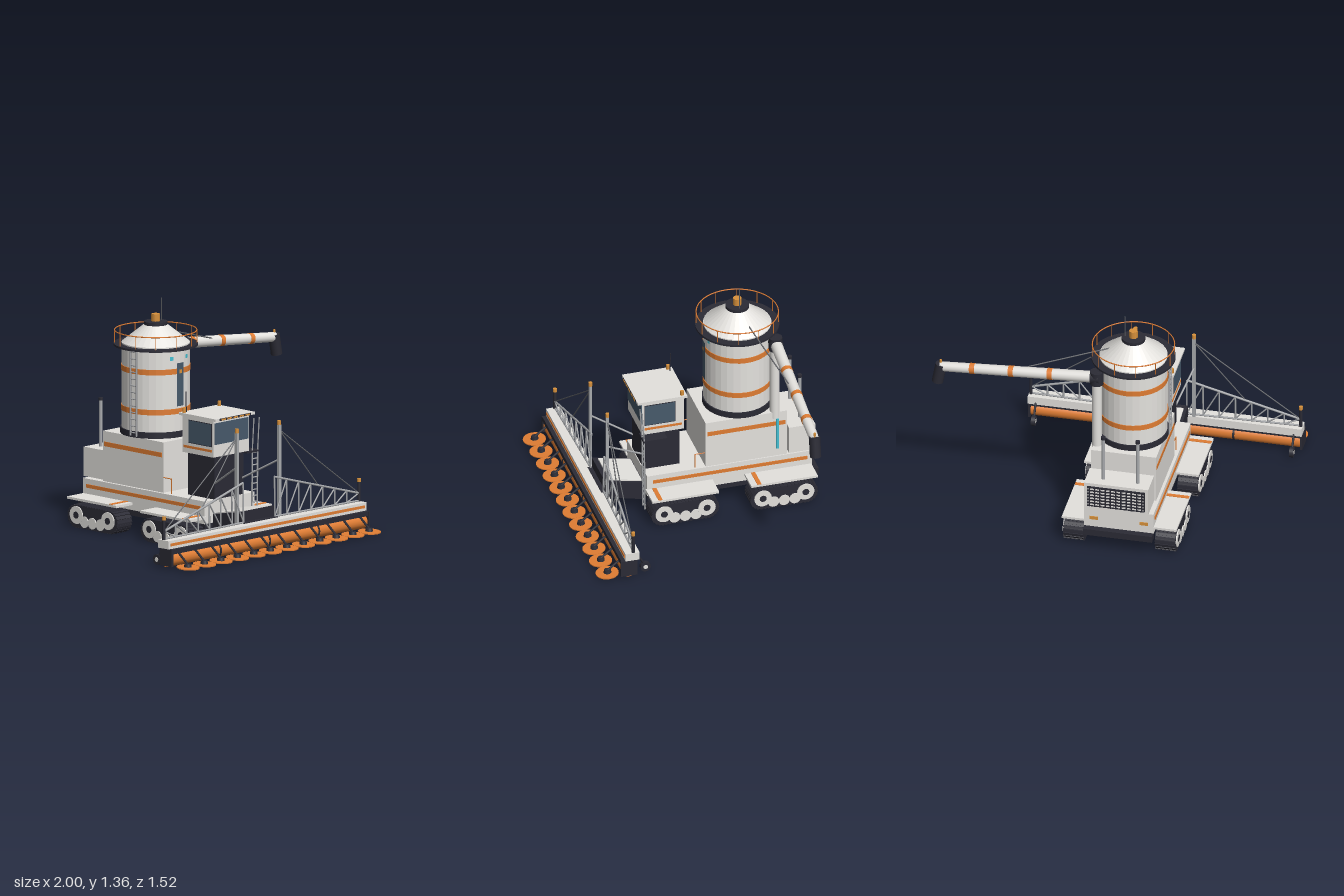
import * as THREE from 'three';

const mat = (name, color) => Object.assign(new THREE.MeshStandardMaterial({ color }), { name });
const V = (x, y, z) => new THREE.Vector3(x, y, z);
const UP = V(0, 1, 0);

export function createModel() {
  const light = mat('light grey paint', 0xe4e2de), orange = mat('orange paint', 0xe07d33);
  const dark = mat('dark metal', 0x2b2b35), glass = mat('tinted glass', 0x475a6b);
  const teal = mat('teal indicator', 0x45bfd2), steel = mat('steel', 0xa9abae);
  const amber = mat('amber lamp', 0xd9923c), cable = mat('cable grey', 0x66686c);

  const root = new THREE.Group();
  root.name = 'harvester';
  // Everything is laid out about the machine's own centre line
  const m = new THREE.Group();
  m.name = 'machine';
  m.position.x = -0.178;
  root.add(m);

  const add = (name, geo, material, x = 0, y = 0, z = 0) => {
    const mesh = new THREE.Mesh(geo, material);
    mesh.name = name;
    mesh.position.set(x, y, z);
    m.add(mesh);
    return mesh;
  };
  // Box given by its limits on each axis
  const box = (name, material, x0, x1, y0, y1, z0, z1) =>
    add(name, new THREE.BoxGeometry(x1 - x0, y1 - y0, z1 - z0), material, (x0 + x1) / 2, (y0 + y1) / 2, (z0 + z1) / 2);
  const cyl = (name, material, r0, r1, y0, y1, x, z, n = 16) =>
    add(name, new THREE.CylinderGeometry(r1, r0, y1 - y0, n), material, x, (y0 + y1) / 2, z);
  const rod = (name, material, a, b, r0, r1 = r0, n = 6) => {
    const d = b.clone().sub(a);
    const c = a.clone().add(b).multiplyScalar(0.5);
    const mesh = add(name, new THREE.CylinderGeometry(r1, r0, d.length(), n), material, c.x, c.y, c.z);
    mesh.quaternion.setFromUnitVectors(UP, d.normalize());
    return mesh;
  };
  const flat = (geo) => {
    const g = geo.toNonIndexed();
    g.computeVertexNormals();
    return g;
  };
  const ladder = (name, a, b, half, rungs) => {
    for (const s of [-1, 1])
      rod(name + 'Rail', steel, a.clone().addScaledVector(half, s), b.clone().addScaledVector(half, s), 0.005);
    for (let i = 0; i < rungs; i++) {
      const p = a.clone().lerp(b, (i + 0.5) / rungs);
      rod(name + 'Rung', steel, p.clone().sub(half), p.clone().add(half), 0.004);
    }
  };
  const lamp = (name, x, y, z, r = 0.011, h = 0.028) => cyl(name, amber, r, r, y, y + h, x, z, 10);

  // Chassis
  box('chassis', light, -0.207, 0.207, 0.135, 0.27, -0.72, 0.285);
  box('underPan', dark, -0.2, 0.2, 0.1, 0.136, -0.72, 0.28);
  box('rearHitch', dark, -0.207, 0.207, 0.1, 0.14, -0.76, -0.70);
  for (const s of [-1, 1]) {
    box('chassisStripe', orange, s * 0.209 - 0.003, s * 0.209 + 0.003, 0.217, 0.238, -0.69, 0.25);
    box('rearLamp', amber, s * 0.15 - 0.025, s * 0.15 + 0.025, 0.19, 0.21, -0.725, -0.718);
  }

  // Track units with fenders and road wheels
  const R = 0.066, L = 0.203, H = 0.136;
  const belt = new THREE.Shape();
  belt.moveTo(-L + R, 0.004).lineTo(L - R, 0.004).absarc(L - R, 0.004 + R, R, -Math.PI / 2, Math.PI / 2)
    .lineTo(-L + R, H).absarc(-L + R, 0.004 + R, R, Math.PI / 2, Math.PI * 1.5);
  const beltGeo = new THREE.ExtrudeGeometry(belt, { depth: 0.12, bevelEnabled: false, curveSegments: 12 });
  const cleats = belt.getSpacedPoints(44);
  for (const s of [-1, 1]) for (const zc of [0.09, -0.512]) {
    const t = add('trackBelt', beltGeo, dark, s * 0.275 - 0.06, 0, zc);
    t.rotation.y = Math.PI / 2;
    cleats.slice(1).forEach((p, i) => {
      const c = add('trackCleat', new THREE.BoxGeometry(0.122, 0.006, 0.012), dark, s * 0.275, p.y, zc - p.x);
      const d = p.clone().sub(cleats[i]);
      c.rotation.x = Math.atan2(d.y, d.x);
    });
    for (const dz of [0.13, -0.13]) {
      rod('driveWheel', light, V(s * 0.33, 0.078, zc + dz), V(s * 0.342, 0.078, zc + dz), 0.053, 0.053, 20);
      rod('wheelHub', dark, V(s * 0.335, 0.078, zc + dz), V(s * 0.344, 0.078, zc + dz), 0.021, 0.021, 12);
    }
    for (const dz of [0.065, 0, -0.065])
      rod('roadWheel', light, V(s * 0.33, 0.044, zc + dz), V(s * 0.341, 0.044, zc + dz), 0.034, 0.034, 18);
    const [a, b] = s < 0 ? [-0.343, -0.2] : [0.2, 0.343];
    box('fender', light, a, b, 0.166, 0.18, zc - 0.203, zc + 0.203);
    box('fenderStripe', orange, a + 0.002, b - 0.002, 0.178, 0.183, zc + 0.14, zc + 0.165);
  }

  // Main body and engine bay
  box('body', light, -0.19, 0.2, 0.27, 0.57, -0.57, -0.073);
  for (const x of [-0.19, 0.2]) box('bodyStripe', orange, x - 0.003, x + 0.003, 0.48, 0.507, -0.56, -0.085);
  box('levelGauge', teal, 0.199, 0.207, 0.32, 0.525, -0.518, -0.502);
  box('engineBay', light, -0.18, 0.205, 0.275, 0.45, -0.74, -0.58);
  box('grille', dark, -0.16, 0.185, 0.295, 0.43, -0.747, -0.738);
  for (let i = 0; i < 6; i++) box('grilleSlat', light, -0.155, 0.18, 0.306 + i * 0.021, 0.314 + i * 0.021, -0.75, -0.744);
  for (let i = 0; i < 11; i++) box('grilleBar', dark, -0.149 + i * 0.0315, -0.141 + i * 0.0315, 0.297, 0.428, -0.752, -0.744);
  for (const x of [-0.103, 0.103]) {
    cyl('exhaustPipe', steel, 0.011, 0.011, 0.45, 0.73, x, -0.675, 12);
    cyl('exhaustCap', dark, 0.014, 0.014, 0.725, 0.742, x, -0.675, 12);
  }
  for (const x of [-0.185, 0.19]) {
    rod('deckRail', orange, V(x, 0.27, -0.012), V(x, 0.362, -0.012), 0.003);
    rod('deckRail', orange, V(x, 0.36, -0.012), V(x, 0.36, -0.075), 0.003);
  }

  // Storage silo
  const sz = -0.325, N = 32;
  cyl('siloBase', dark, 0.208, 0.208, 0.57, 0.606, 0, sz, N);
  add('siloWall', flat(new THREE.CylinderGeometry(0.2, 0.2, 0.51, N)), light, 0, 0.855, sz);
  for (const y of [0.725, 0.963]) add('siloBand', flat(new THREE.CylinderGeometry(0.204, 0.204, 0.032, N)), orange, 0, y, sz);
  add('siloRoof', flat(new THREE.CylinderGeometry(0.068, 0.2, 0.105, N)), light, 0, 1.162, sz);
  cyl('siloCap', dark, 0.07, 0.07, 1.212, 1.232, 0, sz, 20);
  cyl('siloBeacon', amber, 0.026, 0.026, 1.232, 1.276, 0, sz, 8);
  rod('siloAntenna', cable, V(0.05, 1.22, sz), V(0.05, 1.365, sz), 0.003);
  const ring = new THREE.Shape().absarc(0, 0, 0.247, 0, Math.PI * 2);
  ring.holes.push(new THREE.Path().absarc(0, 0, 0.195, 0, Math.PI * 2, true));
  const walk = add('siloWalkway', new THREE.ExtrudeGeometry(ring, { depth: 0.012, bevelEnabled: false, curveSegments: 32 }), dark, 0, 1.103, sz);
  walk.rotation.x = Math.PI / 2;
  add('walkwayRail', new THREE.TorusGeometry(0.241, 0.0035, 6, 48), orange, 0, 1.18, sz).rotation.x = Math.PI / 2;
  for (let i = 0; i < 12; i++) {
    const a = ((i + 0.5) / 12) * Math.PI * 2, x = Math.cos(a) * 0.241, z = sz + Math.sin(a) * 0.241;
    rod('walkwayPost', orange, V(x, 1.1, z), V(x, 1.18, z), 0.0022);
  }
  // Curved plates hugging the front of the silo
  const plate = (name, material, angle, half, y0, y1, r) =>
    add(name, new THREE.CylinderGeometry(r, r, y1 - y0, 6, 1, true, angle - half, half * 2), material, 0, (y0 + y1) / 2, sz);
  plate('siloSightGlass', glass, 0, 0.13, 0.755, 1.012, 0.206);
  plate('sightGlassLamp', amber, 0, 0.05, 0.95, 0.973, 0.209);
  for (const s of [-1, 1]) plate('siloIndicator', teal, s * 0.3, 0.055, 1.03, 1.053, 0.203);
  ladder('siloLadder', V(-0.214, 0.58, sz + 0.03), V(-0.214, 1.1, sz + 0.03), V(0, 0, 0.025), 13);

  // Unloading auger
  const hinge = V(0.18, 1.04, -0.505), tip = V(1.125, 0.957, -0.465);
  const along = (t) => hinge.clone().lerp(tip, t);
  cyl('augerRiser', light, 0.029, 0.029, 0.53, 1.02, 0.18, -0.5, 18);
  cyl('augerElbow', dark, 0.04, 0.04, 0.995, 1.08, 0.18, -0.505, 16);
  rod('augerCollar', dark, along(-0.02), along(0.035), 0.041, 0.041, 16);
  rod('augerTube', light, along(0), tip, 0.035, 0.029, 18);
  for (const x of [0.28, 0.515, 0.75]) {
    const t = x / 0.945;
    rod('augerBand', orange, along(t - 0.016), along(t + 0.016), 0.0365 - t * 0.005, 0.0365 - t * 0.005, 18);
  }
  rod('augerSpout', dark, V(1.12, 0.975, -0.465), V(1.142, 0.852, -0.465), 0.034, 0.034, 14);
  lamp('augerLamp', 1.122, 0.972, -0.465, 0.007, 0.03);
  rod('augerStay', cable, V(0.13, 1.155, -0.355), V(0.6, 1.025, -0.46), 0.004);

  // Cab on its pedestal
  box('cabPedestal', dark, -0.122, 0.122, 0.265, 0.53, 0.062, 0.28);
  box('cab', light, -0.147, 0.147, 0.525, 0.745, 0.042, 0.298);
  box('cabRoof', light, -0.162, 0.165, 0.745, 0.76, 0.027, 0.33);
  box('windscreen', glass, -0.14, 0.14, 0.6, 0.728, 0.295, 0.302);
  for (const s of [-1, 1]) {
    const x = s * 0.147;
    box('cabWindowFrame', dark, x - 0.002, x + 0.002, 0.586, 0.724, 0.094, 0.285);
    box('cabWindow', glass, x - 0.004, x + 0.004, 0.59, 0.72, 0.098, 0.281);
    box('cabStripe', orange, x - 0.003, x + 0.003, 0.555, 0.569, 0.055, 0.285);
    lamp('roofBeacon', s * 0.146, 0.76, 0.055);
  }
  box('roofLampBar', dark, -0.13, 0.13, 0.746, 0.759, 0.326, 0.333);
  for (let i = -2; i <= 2; i++) box('roofLamp', amber, i * 0.05 - 0.017, i * 0.05 + 0.017, 0.748, 0.757, 0.328, 0.336);
  rod('cabAntenna', dark, V(-0.122, 0.76, 0.05), V(-0.122, 0.88, 0.045), 0.003);
  box('cabStep', dark, 0.12, 0.22, 0.513, 0.525, 0.165, 0.31);
  ladder('cabLadder', V(0.19, 0.05, 0.3), V(0.19, 0.53, 0.305), V(0.022, 0, 0), 13);
  for (const x of [0.168, 0.212]) rod('cabHandrail', steel, V(x, 0.53, 0.305), V(x, 0.72, 0.318), 0.004);

  // Feeder house sloping down to the header
  const side = new THREE.Shape([[-0.28, 0.07], [-0.28, 0.185], [-0.52, 0.232], [-0.52, 0.125]].map((p) => new THREE.Vector2(...p)).reverse());
  const feeder = add('feederHouse', new THREE.ExtrudeGeometry(side, { depth: 0.276, bevelEnabled: false }), dark, -0.138, 0, 0);
  feeder.rotation.y = Math.PI / 2;
  const lid = add('feederLid', new THREE.BoxGeometry(0.24, 0.008, 0.2), light, 0, 0.21, 0.39);
  lid.rotation.x = -Math.atan2(0.047, 0.24);
  box('feederMouth', dark, -0.14, 0.14, 0.16, 0.17, 0.51, 0.545);

  // Header beam, drum and cutting discs
  const W = 0.82;
  box('headerBeam', light, -W, W, 0.115, 0.165, 0.512, 0.598);
  box('headerStripe', orange, -W + 0.015, W - 0.015, 0.133, 0.149, 0.595, 0.602);
  box('headerRail', dark, -W, W, 0.088, 0.116, 0.535, 0.622);
  rod('headerDrum', orange, V(-W, 0.053, 0.575), V(W, 0.053, 0.575), 0.044, 0.044, 20);
  for (const x of [-W + 0.006, W - 0.006]) box('headerEnd', dark, x - 0.007, x + 0.007, 0.014, 0.116, 0.525, 0.625);
  for (const x of [-0.407, 0, 0.407]) rod('drumBand', dark, V(x - 0.006, 0.053, 0.575), V(x + 0.006, 0.053, 0.575), 0.047, 0.047, 20);
  for (let i = 0; i < 12; i++) {
    const x = (i - 5.5) * 0.1365;
    const disc = add('cuttingDisc', new THREE.CylinderGeometry(0.068, 0.068, 0.006, 24), orange, x, 0.013, 0.69);
    disc.rotation.x = 0.06;
    cyl('discHub', dark, 0.024, 0.02, 0.014, 0.034, x, 0.688, 12);
    rod('discArm', dark, V(x, 0.09, 0.612), V(x, 0.03, 0.688), 0.007);
  }

  // Header masts, trusses, cables and gauge wheels, mirrored
  for (const s of [-1, 1]) {
    const top = V(s * 0.175, 0.68, 0.518);
    box('mast', steel, s * 0.175 - 0.009, s * 0.175 + 0.009, 0.165, 0.71, 0.51, 0.528);
    lamp('mastLamp', s * 0.175, 0.708, 0.519, 0.012, 0.025);
    rod('mastBrace', steel, V(s * 0.175, 0.5, 0.515), V(s * 0.11, 0.365, 0.275), 0.006);
    cyl('endPost', dark, 0.01, 0.01, 0.165, 0.283, s * 0.808, 0.548, 10);
    lamp('endLamp', s * 0.808, 0.282, 0.548, 0.012, 0.021);
    const chord = (t) => V(s * (0.13 + t * 0.675), 0.405 - t * 0.19, 0.525 + t * 0.023);
    const foot = (t) => V(s * (0.13 + t * 0.675), 0.17, 0.53 + t * 0.018);
    rod('trussChord', steel, chord(0), chord(1), 0.007);
    rod('trussFoot', steel, foot(0), foot(1), 0.006);
    for (let i = 0; i < 7; i++) {
      rod('trussPost', steel, chord(i / 7), foot(i / 7), 0.005);
      rod('trussDiagonal', steel, foot(i / 7), chord((i + 1) / 7), 0.0045);
    }
    rod('longCable', cable, top, chord(1), 0.0035);
    rod('shortCable', cable, top, chord(0.52), 0.0035);
    const wx = s * 0.773;
    rod('gaugeWheel', dark, V(wx - 0.012, 0.033, 0.465), V(wx + 0.012, 0.033, 0.465), 0.031, 0.031, 18);
    rod('gaugeWheelHub', light, V(wx - 0.014, 0.033, 0.465), V(wx + 0.014, 0.033, 0.465), 0.014, 0.014, 12);
    rod('gaugeWheelArm', dark, V(wx, 0.04, 0.465), V(wx, 0.13, 0.52), 0.007);
  }
  return root;
}
